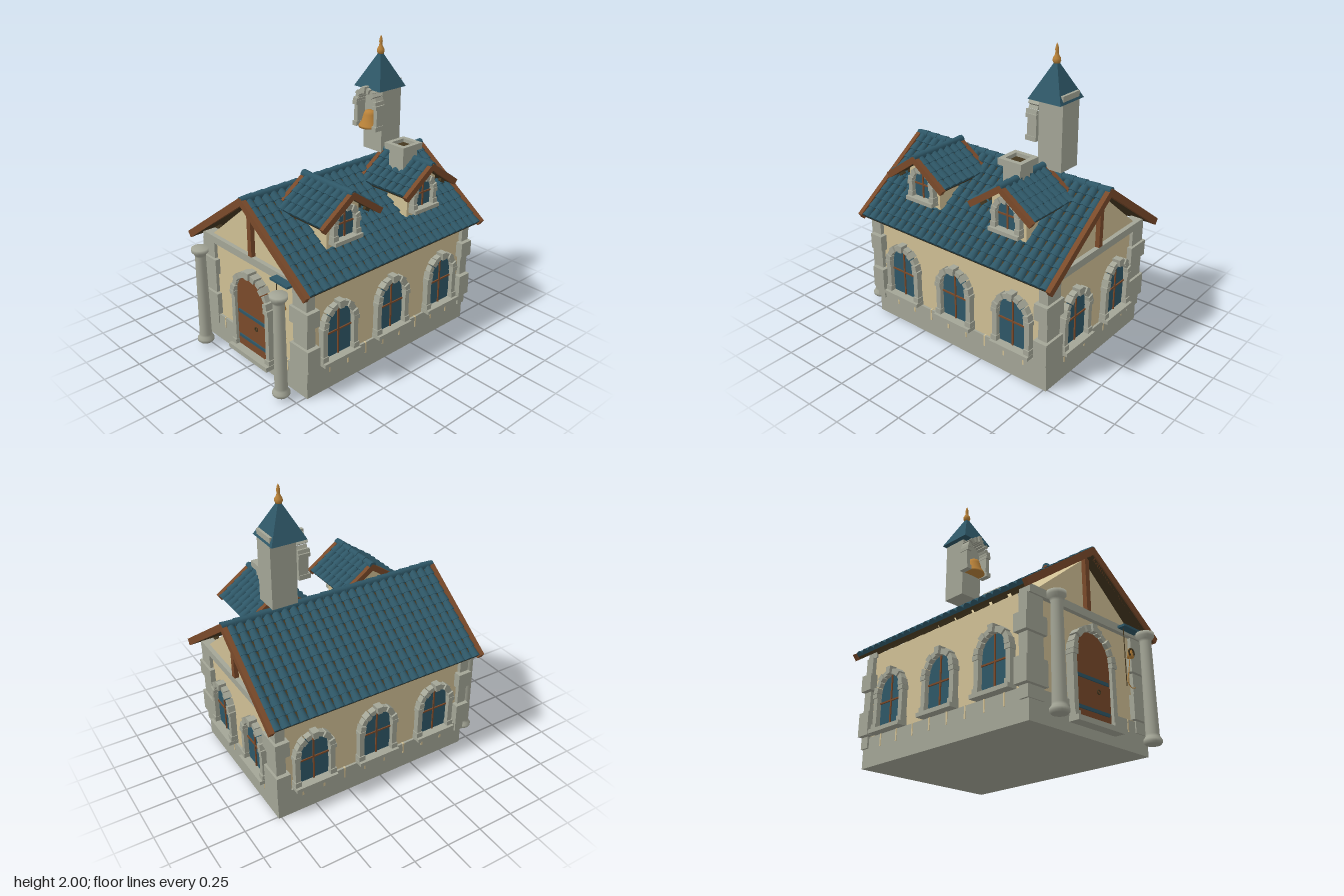
import * as THREE from 'three';
import { mergeGeometries } from 'three/addons/utils/BufferGeometryUtils.js';

const mat = (name, color) => {
  const m = new THREE.MeshStandardMaterial({ color });
  m.name = name;
  return m;
};

export function createModel() {
  const plaster = mat('plaster', 0xcfbf94), stone = mat('stone', 0xa3a596), wood = mat('wood', 0x7a4a2a);
  const teal = mat('teal', 0x2e5767), darkWood = mat('dark wood', 0x453820), gold = mat('gold', 0xb98239);
  const model = new THREE.Group();
  model.name = 'chapel';

  const add = (parent, name, geo, material) => {
    const m = new THREE.Mesh(geo, material);
    m.name = name;
    parent.add(m);
    return m;
  };
  const group = (parent, name, x = 0, y = 0, z = 0, turn = 0) => {
    const g = new THREE.Group();
    g.name = name;
    g.position.set(x, y, z);
    g.rotation.y = turn;
    parent.add(g);
    return g;
  };
  // Box given by its minimum and maximum on each axis
  const boxGeo = (x0, x1, y0, y1, z0, z1) => new THREE.BoxGeometry(x1 - x0, y1 - y0, z1 - z0)
    .translate((x0 + x1) / 2, (y0 + y1) / 2, (z0 + z1) / 2);
  const box = (parent, name, material, ...b) => add(parent, name, boxGeo(...b), material);
  const poly = (pts, z0, z1) => new THREE.ExtrudeGeometry(
    new THREE.Shape(pts.map(p => new THREE.Vector2(...p))), { depth: z1 - z0, bevelEnabled: false }).translate(0, 0, z0);
  const lathe = (pts, n) => new THREE.LatheGeometry(pts.map(p => new THREE.Vector2(...p)), n);
  // Round-headed panel
  const archPanel = (w, y0, spring, z0, z1) => {
    const s = new THREE.Shape();
    s.moveTo(-w, y0).lineTo(w, y0).lineTo(w, spring);
    s.absarc(0, spring, w, 0, Math.PI, false);
    return new THREE.ExtrudeGeometry(s, { depth: z1 - z0, bevelEnabled: false, curveSegments: 12 }).translate(0, 0, z0);
  };

  // Stone surround: jambs, voussoirs and keystone, facing +z
  const surround = (parent, w, y0, spring, t, depth, n = 9) => {
    const parts = [];
    for (const s of [-1, 1]) {
      const jamb = (a, b, y1, y2, d) => parts.push(boxGeo(Math.min(s * a, s * b), Math.max(s * a, s * b), y1, y2, 0, d).toNonIndexed());
      jamb(w, w + t, y0, spring, depth * 0.85);
      jamb(w - 0.003, w + t * 1.15, y0, y0 + t, depth);
      jamb(w - 0.003, w + t * 1.15, spring - t * 0.8, spring, depth);
    }
    for (let i = 0; i < n; i++) {
      const key = i === (n - 1) / 2, step = Math.PI / n;
      const a0 = i * step + 0.025, a1 = (i + 1) * step - 0.025;
      const r0 = w - 0.004, r1 = w + t * (key ? 1.3 : i % 2 ? 0.85 : 1.0);
      const at = (r, a) => [r * Math.cos(a), spring + r * Math.sin(a)];
      parts.push(poly([at(r0, a0), at(r1, a0), at(r1, a1), at(r0, a1)], 0, depth * (key ? 1.15 : i % 2 ? 0.85 : 1)));
    }
    add(parent, 'stoneSurround', mergeGeometries(parts), stone);
  };

  const archWindow = (parent, w, y0, spring, t, depth) => {
    add(parent, 'glass', archPanel(w, y0, spring, 0.002, 0.01), teal);
    box(parent, 'mullion', wood, -0.005, 0.005, y0, spring + w, 0.01, 0.018);
    const mid = y0 + (spring + w - y0) * 0.5;
    box(parent, 'transom', wood, -w, w, mid - 0.005, mid + 0.005, 0.01, 0.018);
    surround(parent, w, y0, spring, t, depth);
    box(parent, 'sill', stone, -w - t * 1.2, w + t * 1.2, y0 - 0.026, y0, 0, depth * 1.4);
  };

  // Gabled barrel-tile roof with its ridge along local z
  const gableRoof = (parent, length, run, rise, rows, rafterPitch, rake) => {
    const angle = Math.atan2(rise, run), len = Math.hypot(run, rise);
    const cols = Math.round((length - 0.05) / 0.061), pitch = (length - 0.05) / cols, course = len / rows;
    for (const s of [0, 1]) {
      const side = group(parent, s ? 'rightSlope' : 'leftSlope', 0, 0, 0, s * Math.PI);
      const slope = group(side, 'slope');
      slope.rotation.z = -angle;
      box(slope, 'roofBoard', darkWood, 0, len, -0.022, 0, -length / 2 + 0.01, length / 2 - 0.01);
      const tiles = [];
      for (let c = 0; c < cols; c++) {
        for (let r = 0; r < rows; r++) {
          tiles.push(new THREE.CylinderGeometry(0.021, 0.033, course * 1.15, 8, 1, false, 0, Math.PI)
            .rotateZ(Math.PI / 2 - 0.06)
            .translate((r + 0.45) * course, 0, -length / 2 + 0.025 + (c + 0.5) * pitch));
        }
      }
      add(slope, 'roofTiles', mergeGeometries(tiles), teal);
      for (const e of [-1, 1]) {
        const z = e * (length / 2 - 0.016);
        box(slope, 'rakeBoard', wood, -0.01, len + 0.012, -0.022, rake, z - 0.016, z + 0.016);
      }
      for (let z = -length / 2 + rafterPitch; z < length / 2 - rafterPitch / 2; z += rafterPitch) {
        box(slope, 'rafterEnd', darkWood, len * 0.8, len - 0.015, -0.04, -0.02, z - 0.011, z + 0.011);
      }
    }
    const ridge = [], n = Math.round(length / 0.09);
    for (let i = 0; i < n; i++) {
      ridge.push(new THREE.CylinderGeometry(0.022, 0.027, length / n * 1.06, 10).rotateX(Math.PI / 2)
        .translate(0, 0.008, -length / 2 + 0.005 + (i + 0.5) * (length - 0.01) / n));
    }
    add(parent, 'ridgeTiles', mergeGeometries(ridge), teal);
  };

  // Walls, gables and plinth
  const Z0 = -0.755, Z1 = 0.66, midZ = -0.0475;
  box(model, 'walls', plaster, -0.5, 0.5, 0.1, 0.76, Z0, Z1);
  add(model, 'gables', poly([[-0.45, 0.77], [0.45, 0.77], [0, 1.14]], Z0, Z1), plaster);
  box(model, 'plinth', stone, -0.515, 0.515, 0, 0.192, -0.77, 0.675);
  for (let i = 0; i < 8; i++) {
    const z = 0.493 - i * 0.155;
    box(model, 'plinthJoint', plaster, -0.518, 0.518, 0.115, 0.194, z - 0.006, z + 0.006);
  }
  for (const x of [-0.33, -0.11, 0.11, 0.33]) {
    box(model, 'plinthJoint', plaster, x - 0.005, x + 0.005, 0.115, 0.194, -0.773, Math.abs(x) > 0.2 ? 0.678 : 0.6);
  }
  for (const [a, b] of [[0.6, 0.69], [-0.785, -0.7]]) box(model, 'tieBeam', stone, -0.512, 0.512, 0.735, 0.785, a, b);
  for (const [a, b] of [[0.64, 0.69], [-0.785, -0.74]]) box(model, 'gablePost', wood, -0.018, 0.018, 0.785, 1.15, a, b);

  // Corner quoins, alternating large and small
  const levels = [0.12, 0.2, 0.36, 0.5, 0.615, 0.735];
  for (const sx of [-1, 1]) for (const sz of [-1, 1]) {
    const corner = group(model, 'cornerQuoins', 0, 0, midZ);
    for (let i = 0; i < 5; i++) {
      const big = i % 2 === 1;
      const xo = big ? 0.55 : 0.528, xi = big ? 0.38 : 0.4, zo = big ? 0.742 : 0.73, zi = big ? 0.645 : 0.665;
      const q = box(corner, 'quoin', stone, xi, xo, levels[i] + 0.003, levels[i + 1] - 0.003, zi, zo);
      q.geometry.translate(-(xi + xo) / 2, 0, -(zi + zo) / 2);
      q.position.set(sx * (xi + xo) / 2, 0, sz * (zi + zo) / 2);
    }
  }

  // Main roof
  gableRoof(group(model, 'mainRoof', 0, 1.168, midZ), 1.59, 0.58, 0.415, 10, 0.153, 0.024);

  // Side and back windows
  for (const s of [-1, 1]) {
    for (const z of [0.42, -0.04, -0.51]) {
      archWindow(group(model, 'sideWindow', s * 0.5, 0, z, s * Math.PI / 2), 0.108, 0.222, 0.455, 0.036, 0.048);
    }
    archWindow(group(model, 'backWindow', s * 0.225, 0, Z0, Math.PI), 0.108, 0.222, 0.455, 0.036, 0.048);
  }

  // Front door
  const door = group(model, 'frontDoor', 0, 0, Z1);
  add(door, 'doorLeaf', archPanel(0.157, 0.09, 0.485, 0, 0.03), wood);
  for (const y of [0.165, 0.35]) box(door, 'strapHinge', teal, -0.137, 0.137, y - 0.01, y + 0.01, 0.03, 0.038);
  add(door, 'doorRing', new THREE.TorusGeometry(0.013, 0.004, 6, 14).translate(0.045, 0.285, 0.036), darkWood);
  surround(door, 0.155, 0.09, 0.485, 0.035, 0.06, 11);
  box(door, 'threshold', stone, -0.2, 0.2, 0.06, 0.092, 0, 0.085);

  // Free-standing porch columns
  for (const s of [-1, 1]) {
    const column = add(model, 'porchColumn', lathe([[0, 0.03], [0.045, 0.03], [0.056, 0.042], [0.056, 0.058], [0.044, 0.075],
      [0.041, 0.09], [0.035, 0.67], [0.04, 0.685], [0.056, 0.705], [0.056, 0.73], [0, 0.73]], 20), stone);
    column.position.set(s * 0.406, 0, 0.79);
  }

  // Small door bell with canopy and pull cord
  const doorBell = group(model, 'doorBell', 0.345, 0, 0.715);
  box(doorBell, 'canopy', teal, -0.078, 0.085, 0.755, 0.77, -0.03, 0.03);
  add(doorBell, 'bellRing', new THREE.TorusGeometry(0.024, 0.006, 8, 16).translate(0, 0.605, 0.01), darkWood);
  add(doorBell, 'smallBell', lathe([[0, 0.575], [0.023, 0.575], [0.016, 0.6], [0.012, 0.63], [0, 0.64]], 12), gold);
  const cord = pts => new THREE.TubeGeometry(new THREE.CatmullRomCurve3(pts.map(p => new THREE.Vector3(...p))), 16, 0.003, 5);
  add(doorBell, 'hangingRod', cord([[-0.053, 0.755, 0], [-0.053, 0.56, 0], [-0.053, 0.38, 0]]), darkWood);
  add(doorBell, 'pullCord', cord([[0, 0.6, 0], [-0.025, 0.48, 0], [-0.04, 0.41, 0], [0, 0.38, 0], [0.03, 0.39, 0]]), gold);

  // Dormers on the left slope
  for (const z of [0.295, -0.398]) {
    const dormer = group(model, 'dormer', 0, 0, z, Math.PI / 2);
    add(dormer, 'dormerBody', poly([[-0.13, 0.9], [0.13, 0.9], [0.13, 1.13], [0, 1.225], [-0.13, 1.13]], 0.08, 0.415), plaster);
    archWindow(group(dormer, 'dormerWindow', 0, 0, 0.415), 0.075, 0.955, 1.06, 0.032, 0.045);
    gableRoof(group(dormer, 'dormerRoof', 0, 1.243, 0.284), 0.455, 0.225, 0.158, 4, 0.075, 0.018);
  }

  // Chimney with an open flue
  const chimney = group(model, 'chimney', 0.2825, 0, -0.358);
  box(chimney, 'chimneyShaft', stone, -0.062, 0.062, 1.15, 1.32, -0.065, 0.065);
  const rim = new THREE.Shape([[-0.083, -0.088], [0.083, -0.088], [0.083, 0.088], [-0.083, 0.088]].map(p => new THREE.Vector2(...p)));
  rim.holes.push(new THREE.Path([[-0.052, -0.055], [-0.052, 0.055], [0.052, 0.055], [0.052, -0.055]].map(p => new THREE.Vector2(...p))));
  add(chimney, 'chimneyCap', new THREE.ExtrudeGeometry(rim, { depth: 0.042, bevelEnabled: false })
    .rotateX(-Math.PI / 2).translate(0, 1.316, 0), stone);
  box(chimney, 'flue', darkWood, -0.053, 0.053, 1.317, 1.334, -0.056, 0.056);

  // Bell tower with arched front, spire and finial
  const tower = group(model, 'bellTower', 0, 0, -0.355);
  box(tower, 'towerShaft', stone, -0.084, 0.084, 1.235, 1.715, -0.175, 0);
  surround(tower, 0.075, 1.4, 1.57, 0.031, 0.08, 11);
  add(tower, 'bell', lathe([[0, 1.408], [0.076, 1.405], [0.074, 1.418], [0.055, 1.445], [0.043, 1.49], [0.034, 1.512], [0, 1.517]], 20), gold)
    .position.z = 0.025;
  const cone = new THREE.ConeGeometry(0.12 * Math.SQRT2, 0.24, 4).rotateY(Math.PI / 4).translate(0, 1.785, -0.062).toNonIndexed();
  cone.computeVertexNormals();
  add(tower, 'spire', cone, teal);
  add(tower, 'finial', lathe([[0, 1.875], [0.02, 1.88], [0.026, 1.895], [0.024, 1.91], [0.012, 1.93], [0.01, 1.945],
    [0.012, 1.96], [0.007, 1.985], [0, 2]], 14), gold).position.z = -0.062;

  return model;
}
